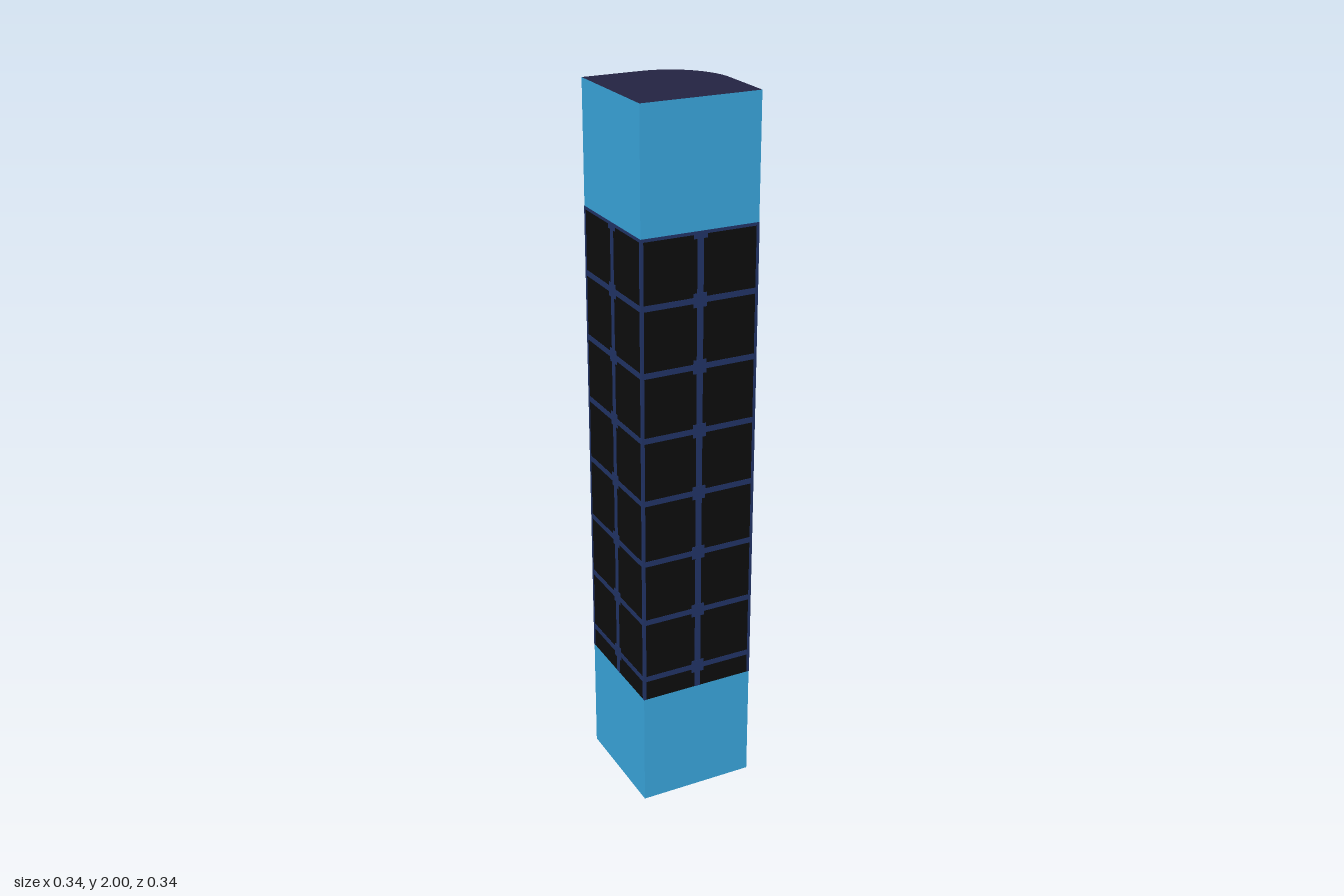
import * as THREE from 'three';
import { toCreasedNormals } from 'three/addons/utils/BufferGeometryUtils.js';

const R = 1 / 6; // half width, also the radius of the rounded corner

const material = (name, color) => {
  const m = new THREE.MeshStandardMaterial({ color });
  m.name = name;
  return m;
};

// Square plan with the back corner on +x rounded, extruded from y0 to y1
function prism(y0, y1, r = R) {
  const s = new THREE.Shape();
  s.moveTo(-r, -r);
  s.lineTo(r, -r);
  s.lineTo(r, 0);
  s.absarc(0, 0, r, 0, Math.PI / 2, false);
  s.lineTo(-r, r);
  s.closePath();
  const g = new THREE.ExtrudeGeometry(s, { depth: y1 - y0, bevelEnabled: false, curveSegments: 24 });
  g.rotateX(-Math.PI / 2);
  g.translate(0, y0, 0);
  return toCreasedNormals(g, 0.5);
}

export function createModel() {
  const blue = material('bright blue', 0x3ba8e0);
  const dark = material('panel black', 0x0d0d0d);
  const line = material('grid navy', 0x223468);
  const cap = material('cap indigo', 0x232342);

  const model = new THREE.Group();
  model.name = 'column';
  const add = (parent, name, geometry, mat) => {
    const m = new THREE.Mesh(geometry, mat);
    m.name = name;
    parent.add(m);
    return m;
  };

  // Three stacked sections
  const low = 0.335, high = 1.667;
  add(model, 'base', prism(0, low), [cap, blue]);
  add(model, 'shaft', prism(low, high), dark);
  add(model, 'head', prism(high, 2), [cap, blue]);

  // Grid seams on the shaft
  const grid = new THREE.Group();
  grid.name = 'grid';
  model.add(grid);
  const rows = Array.from({ length: 8 }, (_, i) => 0.401 + i * 0.1808);
  rows.forEach((y) => {
    const top = Math.min(y + 0.008, high);
    add(grid, 'horizontalSeam', prism(y - 0.008, top, R + 0.0008), line);
  });

  // Upright seams at the middle of each side, with a square node on every row
  const middles = [[0, 1], [1, 0], [0, -1], [-1, 0]];
  const plate = (name, x, z, width, y0, y1, out) => {
    const g = new THREE.BoxGeometry(x ? 0.005 : width, y1 - y0, x ? width : 0.005);
    const d = R + out - 0.0025;
    g.translate(x * d, (y0 + y1) / 2, z * d);
    add(grid, name, g, line);
  };
  for (const [x, z] of middles) {
    plate('uprightSeam', x, z, 0.018, low, high, 0.0008);
    for (const y of rows) plate('node', x, z, 0.038, y - 0.019, Math.min(y + 0.019, high), 0.0012);
  }

  // Upright seams wrapped round the three sharp corners
  for (const [x, z] of [[-1, 1], [1, 1], [-1, -1]]) {
    const w = 0.008;
    const g = new THREE.BoxGeometry(w, high - low, w);
    const d = R + 0.0008 - w / 2;
    g.translate(x * d, (low + high) / 2, z * d);
    add(grid, 'cornerSeam', g, line);
  }
  return model;
}
